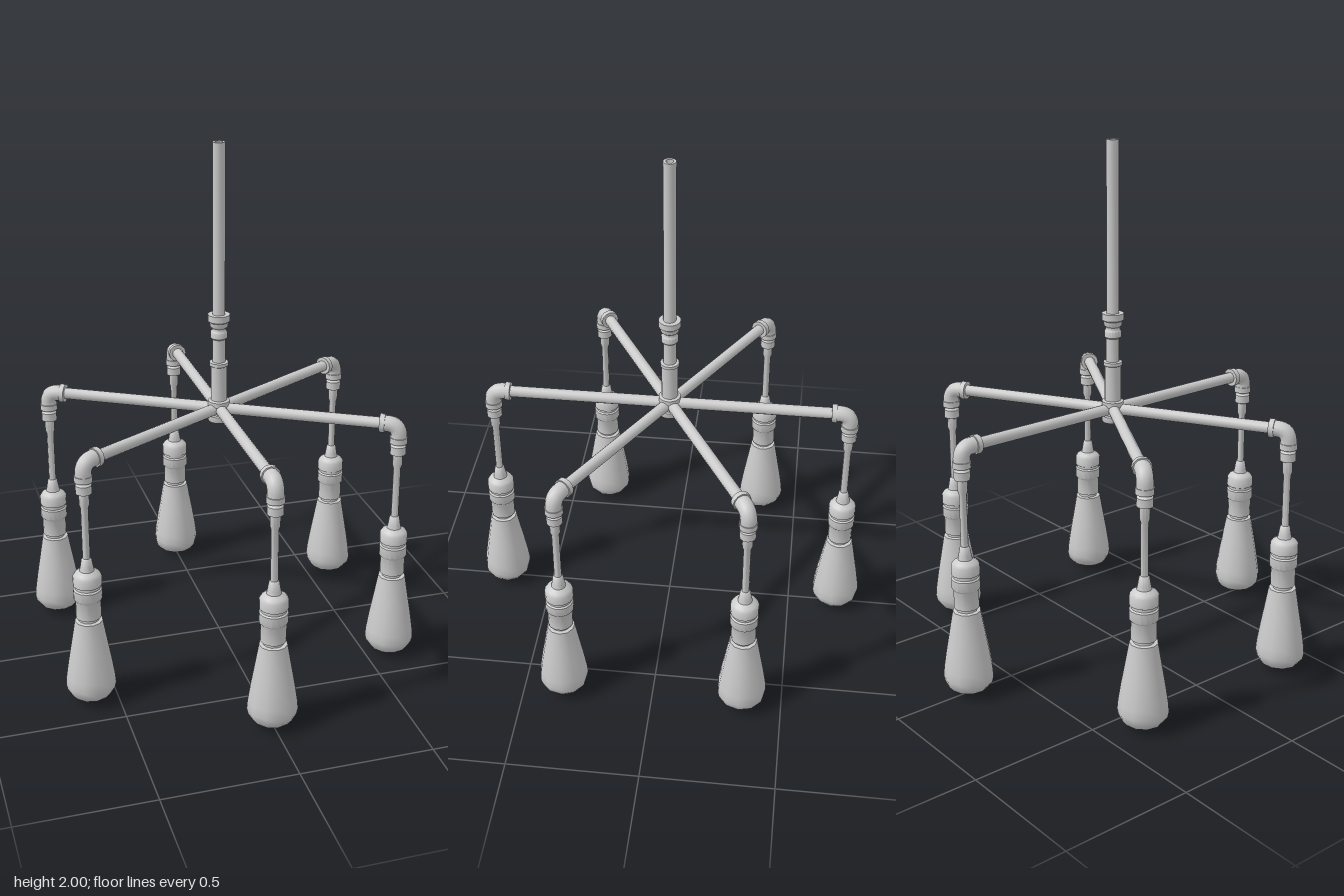
import * as THREE from 'three';
import { toCreasedNormals } from 'three/addons/utils/BufferGeometryUtils.js';

const material = new THREE.MeshStandardMaterial({ color: 0xcccccc, side: THREE.DoubleSide });
const ARMS = 6, REACH = 0.69, ARM_Y = 0.978;

function mesh(name, geometry) {
  const m = new THREE.Mesh(toCreasedNormals(geometry, 0.75), material);
  m.name = name;
  return m;
}

// Turned part from [radius, height] pairs, listed bottom to top
function turned(name, profile, sides) {
  return mesh(name, new THREE.LatheGeometry(profile.map(([r, y]) => new THREE.Vector2(r, y)), sides));
}

// Horizontal cylinder along z between two distances from the centre
function alongZ(name, radius, z0, z1, sides = 12) {
  const g = new THREE.CylinderGeometry(radius, radius, z1 - z0, sides);
  g.rotateX(Math.PI / 2);
  g.translate(0, ARM_Y, (z0 + z1) / 2);
  return mesh(name, g);
}

// One arm with its elbow, drop pipe, socket and bulb, built along +z
function createArm() {
  const arm = new THREE.Group();
  arm.name = 'lampArm';
  arm.add(alongZ('armPipe', 0.022, 0, 0.64));
  arm.add(alongZ('elbowInnerCollar', 0.036, 0.618, 0.638));

  const bend = new THREE.CurvePath();
  const v = (y, z) => new THREE.Vector3(0, y, z);
  bend.add(new THREE.LineCurve3(v(ARM_Y, 0.625), v(ARM_Y, 0.645)));
  bend.add(new THREE.QuadraticBezierCurve3(v(ARM_Y, 0.645), v(ARM_Y, REACH), v(0.935, REACH)));
  bend.add(new THREE.LineCurve3(v(0.935, REACH), v(0.915, REACH)));
  arm.add(mesh('elbow', new THREE.TubeGeometry(bend, 14, 0.031, 12)));

  const drop = new THREE.Group();
  drop.name = 'drop';
  drop.position.z = REACH;
  drop.add(turned('elbowLowerCollar', [[0, 0.905], [0.034, 0.905], [0.034, 0.928], [0, 0.928]], 12));
  drop.add(turned('dropPipe', [
    [0, 0.57], [0.014, 0.57], [0.014, 0.8], [0.019, 0.815], [0.019, 0.855],
    [0.03, 0.86], [0.03, 0.892], [0.022, 0.9], [0.022, 0.92],
  ], 12));
  drop.add(turned('socket', [
    [0, 0.36], [0.047, 0.36], [0.047, 0.43], [0.053, 0.437], [0.053, 0.475], [0.047, 0.48],
    [0.047, 0.49], [0.053, 0.493], [0.053, 0.528], [0.045, 0.54], [0.027, 0.55],
    [0.024, 0.565], [0.019, 0.595], [0.014, 0.6],
  ], 16));
  drop.add(turned('bulbNeck', [[0.038, 0.335], [0.038, 0.365]], 12));
  drop.add(turned('bulb', [
    [0, 0.005], [0.011, 0.01], [0.016, 0.018], [0.045, 0.02], [0.072, 0.034], [0.089, 0.056],
    [0.094, 0.08], [0.091, 0.115], [0.081, 0.18], [0.066, 0.265], [0.052, 0.345], [0.036, 0.347],
  ], 11));
  arm.add(drop);
  return arm;
}

export function createModel() {
  const model = new THREE.Group();
  model.name = 'pipeChandelier';

  // Central stem with hollow top
  model.add(turned('ceilingPipe', [
    [0.024, 1.3], [0.024, 2], [0.014, 2], [0.014, 1.3],
  ], 12));
  model.add(turned('reducerCoupling', [
    [0.026, 1.258], [0.032, 1.264], [0.032, 1.286], [0.027, 1.292], [0.027, 1.302],
    [0.034, 1.308], [0.036, 1.325], [0.042, 1.33], [0.042, 1.355], [0.024, 1.355],
  ], 16));
  model.add(turned('nipple', [[0.025, 1.15], [0.025, 1.31], [0, 1.31]], 12));
  model.add(turned('lowerStem', [
    [0.031, 0.98], [0.031, 1.15], [0.036, 1.153], [0.036, 1.166], [0.024, 1.168],
  ], 16));
  model.add(turned('hub', [
    [0, 0.928], [0.04, 0.928], [0.042, 0.932], [0.042, 0.952], [0.036, 0.956],
    [0.036, 0.985], [0.042, 0.99], [0.042, 1.01], [0.03, 1.014],
  ], 16));

  for (let i = 0; i < ARMS; i++) {
    const arm = createArm();
    arm.rotation.y = (i / ARMS) * Math.PI * 2;
    model.add(arm);
  }
  return model;
}
